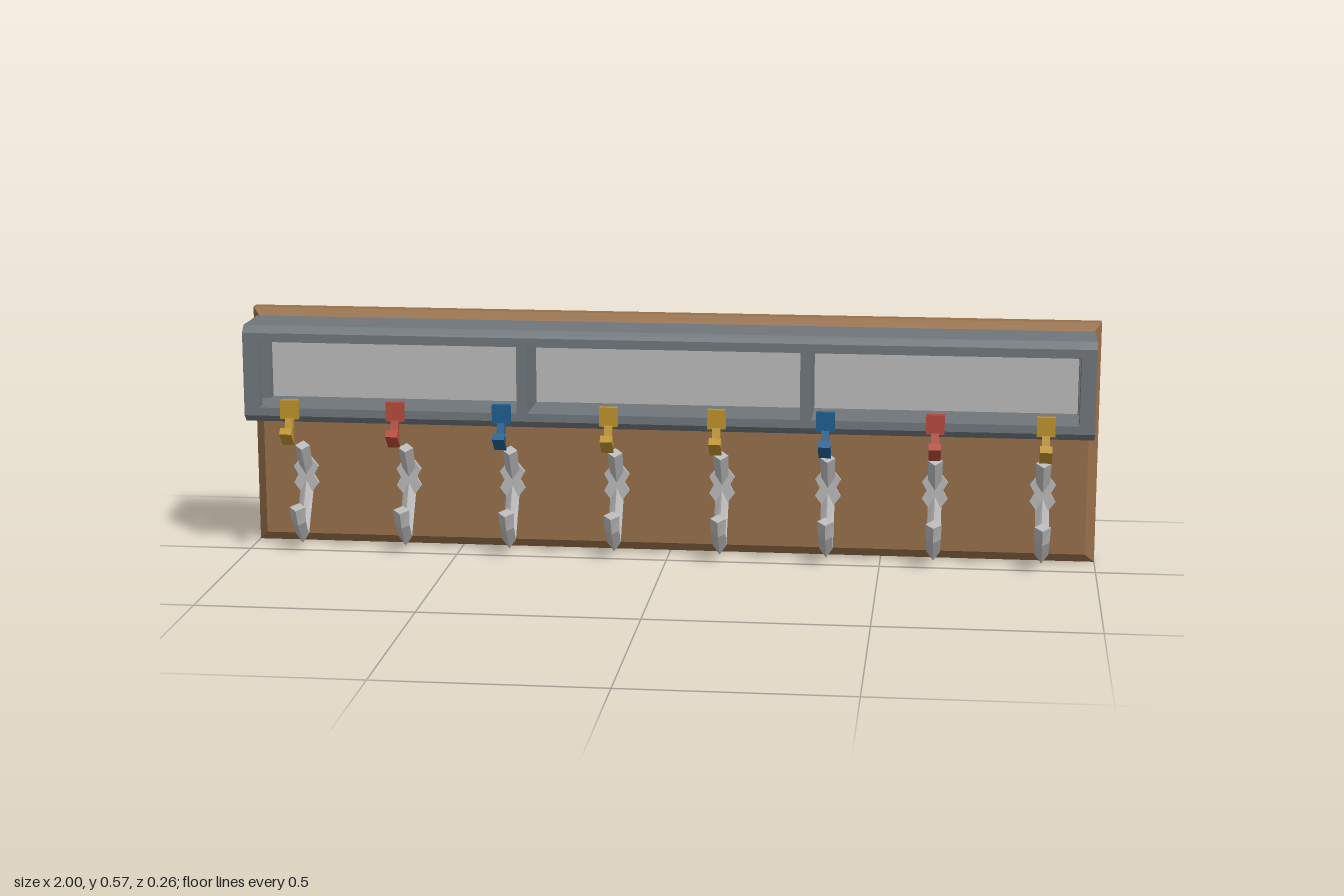
import * as THREE from 'three';

const mat = (name, color) => {
  const m = new THREE.MeshStandardMaterial({ color });
  m.name = name;
  return m;
};

export function createModel() {
  const wood = mat('wood', 0x966f49);
  const grey = mat('slate grey', 0x6f767a);
  const silver = mat('silver', 0xbababa);
  const gold = mat('gold', 0xbd922b);
  const red = mat('red', 0xb54a3c);
  const blue = mat('blue', 0x1f5f8f);
  const root = new THREE.Group();
  root.name = 'coatRack';

  const add = (parent, name, geo, material) => {
    const m = new THREE.Mesh(geo, material);
    m.name = name;
    parent.add(m);
    return m;
  };
  // Box from its minimum and maximum corners
  const box = (parent, name, material, a, b) => {
    const g = new THREE.BoxGeometry(b[0] - a[0], b[1] - a[1], b[2] - a[2]);
    g.translate((a[0] + b[0]) / 2, (a[1] + b[1]) / 2, (a[2] + b[2]) / 2);
    return add(parent, name, g, material);
  };
  // Side profile given as [z, y] points, extruded along x and centred on x
  const profile = (points, width, x = 0, hole) => {
    const toVec = p => new THREE.Vector2(p[0], p[1]);
    const s = new THREE.Shape(points.map(toVec));
    if (hole) s.holes.push(new THREE.Path(hole.map(toVec)));
    const g = new THREE.ExtrudeGeometry(s, { depth: width, bevelEnabled: false });
    return g.translate(0, 0, -width / 2).rotateY(-Math.PI / 2).translate(x, 0, 0);
  };
  // Diamond-section bar through sections [outer z, outer y, inner z, inner y, half width]
  const diamondBar = sections => {
    const pos = [], idx = [];
    sections.forEach(([oz, oy, iz, iy, w], k) => {
      const my = (oy + iy) / 2, mz = (oz + iz) / 2;
      pos.push(0, oy, oz, w, my, mz, 0, iy, iz, -w, my, mz);
      if (k === 0) return;
      for (let j = 0; j < 4; j++) {
        const a = (k - 1) * 4 + j, b = (k - 1) * 4 + (j + 1) % 4;
        idx.push(a, b, b + 4, a, b + 4, a + 4);
      }
    });
    const e = (sections.length - 1) * 4;
    idx.push(0, 2, 1, 0, 3, 2, e, e + 1, e + 2, e, e + 2, e + 3);
    let g = new THREE.BufferGeometry();
    g.setAttribute('position', new THREE.Float32BufferAttribute(pos, 3));
    g.setIndex(idx);
    g = g.toNonIndexed();
    g.computeVertexNormals();
    return g;
  };

  // Backboard with a bevel round its front edge
  let board = new THREE.BoxGeometry(2, 0.57, 0.052, 1, 1, 2);
  const p = board.attributes.position;
  for (let i = 0; i < p.count; i++) {
    const z = p.getZ(i), inset = z > 0.01 ? 0.023 : 0;
    p.setXYZ(i, p.getX(i) - Math.sign(p.getX(i)) * inset,
      p.getY(i) - Math.sign(p.getY(i)) * inset + 0.285,
      Math.abs(z) < 0.01 ? -0.097 : z - 0.099);
  }
  board = board.toNonIndexed();
  board.computeVertexNormals();
  add(root, 'backboard', board, wood);

  // Wall mounting plates
  for (const x of [-0.76, 0.76])
    box(root, 'mountingPlate', grey, [x - 0.023, 0.365, -0.129], [x + 0.023, 0.475, -0.124]);

  // Open shelf box
  const shelf = new THREE.Group();
  shelf.name = 'shelfBox';
  root.add(shelf);
  const back = -0.073, front = 0.071;
  add(shelf, 'topRail', profile([[back, 0.518], [front, 0.518], [front, 0.537],
    [0.055, 0.553], [back, 0.553]], 1.9), grey);
  add(shelf, 'bottomRail', profile([[back, 0.325], [0.055, 0.325], [front, 0.341],
    [front, 0.36], [back, 0.36]], 1.9), grey);
  const endOutline = [[back, 0.325], [0.055, 0.325], [front, 0.341], [front, 0.537],
    [0.055, 0.553], [back, 0.553]];
  const endHole = [[-0.038, 0.36], [-0.038, 0.518], [0.036, 0.518], [0.036, 0.36]];
  for (const s of [-1, 1]) {
    add(shelf, 'endPanel', profile(endOutline, 0.035, s * 0.9675, endHole), grey);
    box(shelf, 'divider', grey, [s * 0.328 - 0.0125, 0.36, back], [s * 0.328 + 0.0125, 0.518, front]);
  }
  box(shelf, 'backPanel', silver, [-0.95, 0.36, back], [0.95, 0.49, back + 0.006]);
  box(shelf, 'backLip', grey, [-0.95, 0.49, back], [0.95, 0.518, back + 0.006]);

  // Small coloured hooks
  const smallArm = profile([[0.071, 0.337], [0.097, 0.278], [0.108, 0.289], [0.101, 0.304],
    [0.087, 0.34]], 0.018);
  const smallTip = profile([[0.097, 0.278], [0.131, 0.31], [0.117, 0.323], [0.101, 0.304]], 0.028);

  // Large double hooks
  const star = [[0, 0.11], [0.03, 0.15], [0.019, 0.17], [0.03, 0.19], [0, 0.228],
    [-0.03, 0.19], [-0.019, 0.17], [-0.03, 0.15]];
  const plate = new THREE.ExtrudeGeometry(
    new THREE.Shape(star.map(q => new THREE.Vector2(q[0], q[1]))),
    { depth: 0.01, bevelEnabled: false }).translate(0, 0, -0.073);
  const upperArm = diamondBar([[-0.063, 0.17, -0.068, 0.212, 0.016], [-0.02, 0.24, -0.047, 0.257, 0.018]]);
  const lowerArm = diamondBar([[-0.073, 0.11, -0.063, 0.157, 0.016], [-0.011, 0.015, -0.008, 0.06, 0.016],
    [0.034, 0.068, 0.01, 0.08, 0.017], [0.052, 0.107, 0.013, 0.118, 0.019]]);

  [gold, red, blue, gold, gold, blue, red, gold].forEach((colour, i) => {
    const small = new THREE.Group(), large = new THREE.Group();
    small.name = 'smallHook';
    large.name = 'largeHook';
    small.position.x = large.position.x = -0.875 + i * 0.25;
    box(small, 'smallHookMount', colour, [-0.021, 0.337, 0.071], [0.021, 0.382, 0.087]);
    add(small, 'smallHookArm', smallArm, colour);
    add(small, 'smallHookTip', smallTip, colour);
    add(large, 'largeHookPlate', plate, silver);
    add(large, 'upperArm', upperArm, silver);
    add(large, 'lowerArm', lowerArm, silver);
    root.add(small, large);
  });
  return root;
}
